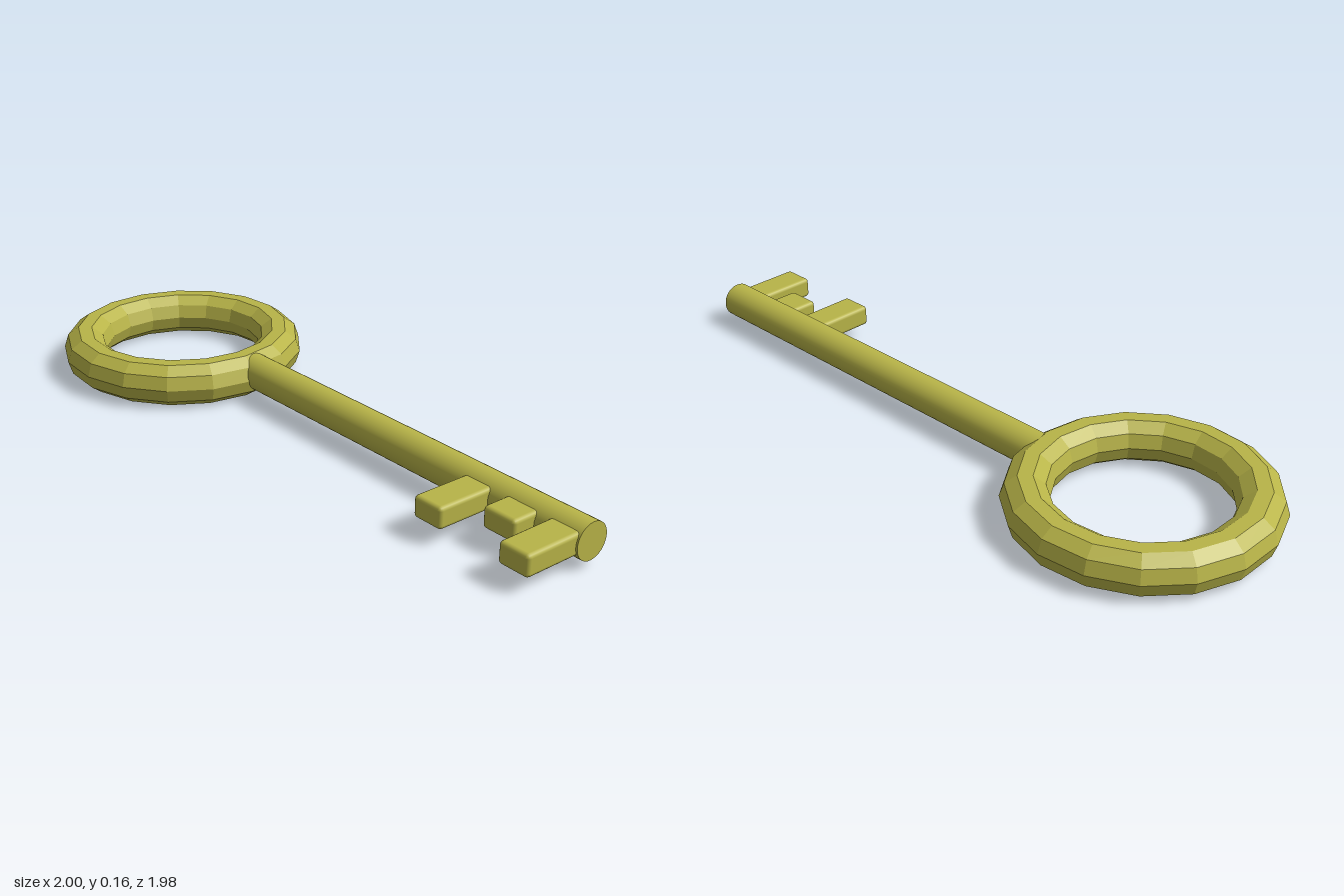
import * as THREE from 'three';
import { RoundedBoxGeometry } from 'three/addons/geometries/RoundedBoxGeometry.js';

const COLOR = 0xb8b448;

function addMesh(parent, name, geometry, flatShading = false) {
  const material = new THREE.MeshStandardMaterial({ color: COLOR, flatShading });
  const mesh = new THREE.Mesh(geometry, material);
  mesh.name = name;
  parent.add(mesh);
  return mesh;
}

export function createModel() {
  const key = new THREE.Group();
  key.name = 'key';

  // Faceted ring handle, lying flat
  const ring = addMesh(key, 'ringHandle',
    new THREE.TorusGeometry(0.374, 0.082, 10, 17).rotateX(Math.PI / 2), true);
  ring.position.set(-0.555, 0.078, -0.539);

  // Blade frame: x runs along the shaft, z points out along the teeth
  const blade = new THREE.Group();
  blade.name = 'blade';
  blade.position.set(-0.262, 0.09, -0.326);
  blade.rotation.y = -0.75;
  key.add(blade);

  // Round shaft, its inner end buried in the ring
  const length = 1.662;
  const shaft = addMesh(blade, 'shaft',
    new THREE.CylinderGeometry(0.064, 0.064, length, 32).rotateZ(-Math.PI / 2));
  shaft.position.x = length / 2;

  // Teeth: [centre along the shaft, width, reach from the shaft axis]
  const teeth = [
    [1.244, 0.118, 0.262],
    [1.428, 0.13, 0.147],
    [1.597, 0.118, 0.262],
  ];
  teeth.forEach(([x, width, reach], i) => {
    const tooth = addMesh(blade, `tooth${i + 1}`,
      new RoundedBoxGeometry(width, 0.077, reach, 2, 0.014));
    tooth.position.set(x, 0.004, reach / 2);
  });

  return key;
}
